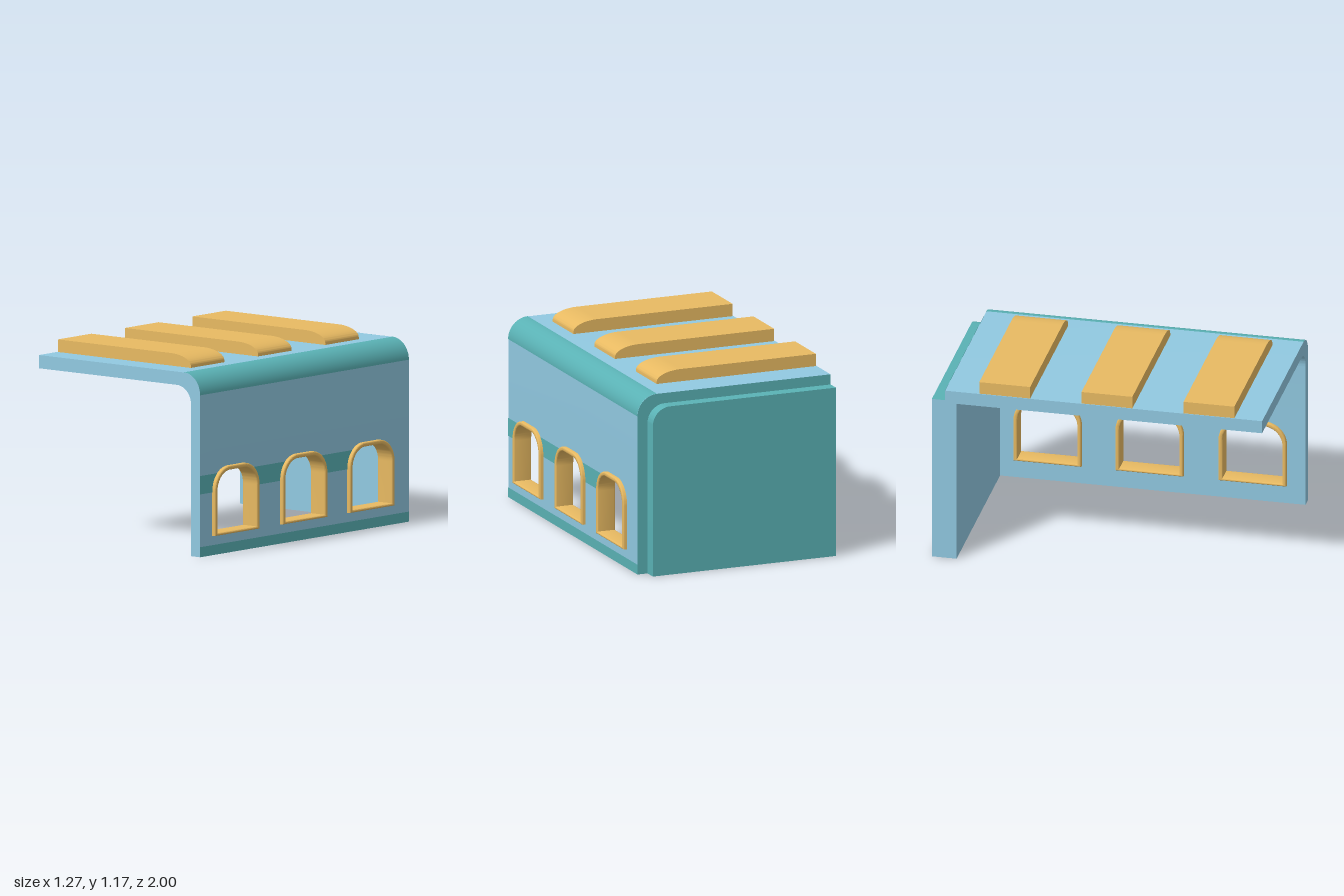
import * as THREE from 'three';
import { toCreasedNormals } from 'three/addons/utils/BufferGeometryUtils.js';

const paint = (color) => new THREE.MeshStandardMaterial({ color, side: THREE.DoubleSide });
const blue = paint(0x91c9e1);
const teal = paint(0x5ab2b5);
const ochre = paint(0xe8ba62);

const LEFT = -0.635, WALL_IN = 0.539, WALL_OUT = 0.608, FRONT = 1, BACK = -0.92;
const WINDOWS = [-0.682, -0.058, 0.56]; // positions along the wall, measured as -z

function extrude(shape, depth, bevel = 0) {
  const g = new THREE.ExtrudeGeometry(shape, {
    depth: depth - 2 * bevel, curveSegments: 12, bevelEnabled: bevel > 0,
    bevelThickness: bevel, bevelSize: bevel, bevelOffset: -bevel, bevelSegments: 3,
  });
  g.translate(0, 0, bevel);
  return toCreasedNormals(g, 0.6);
}

// Opens a hollow part by removing the flat faces lying at axis = value
function openAt(g, axis, value) {
  const { position, normal } = g.attributes;
  const keptPositions = [], keptNormals = [];
  for (let i = 0; i < position.count; i += 3) {
    const flat = [0, 1, 2].every((k) => Math.abs(position.getComponent(i + k, axis) - value) < 1e-4);
    if (flat) continue;
    keptPositions.push(...position.array.slice(i * 3, i * 3 + 9));
    keptNormals.push(...normal.array.slice(i * 3, i * 3 + 9));
  }
  const open = new THREE.BufferGeometry();
  open.setAttribute('position', new THREE.Float32BufferAttribute(keptPositions, 3));
  open.setAttribute('normal', new THREE.Float32BufferAttribute(keptNormals, 3));
  return open;
}

// Turns a shape drawn in (-z, y) to face +x, starting at x
const faceRight = (g, x) => g.rotateY(Math.PI / 2).translate(x, 0, 0);

// Roof with rounded shoulder, running down the right side to the given height
function shellProfile(bottom) {
  const s = new THREE.Shape();
  s.moveTo(LEFT, 1.013);
  s.lineTo(0.429, 1.013);
  s.absarc(0.429, 0.903, 0.11, Math.PI / 2, 0, true);
  s.lineTo(WALL_IN, bottom);
  s.lineTo(WALL_OUT, bottom);
  s.lineTo(WALL_OUT, 0.967);
  s.absarc(0.483, 0.967, 0.125, 0, Math.PI / 2, false);
  s.lineTo(LEFT, 1.092);
  s.closePath();
  return s;
}

// Window outline with rounded upper corners
function arch(PathType, c, half, bottom, top, r) {
  const p = new PathType();
  p.moveTo(c - half, bottom);
  p.lineTo(c + half, bottom);
  p.lineTo(c + half, top - r);
  p.absarc(c + half - r, top - r, r, 0, Math.PI / 2, false);
  p.lineTo(c - half + r, top);
  p.absarc(c - half + r, top - r, r, Math.PI / 2, Math.PI, false);
  p.closePath();
  return p;
}

function rect(x0, y0, x1, y1) {
  return new THREE.Shape([[x0, y0], [x1, y0], [x1, y1], [x0, y1]].map(([x, y]) => new THREE.Vector2(x, y)));
}

// Half width of the wall opening at height y
const openingHalf = (y) => (y < 0.382 ? 0.192 : 0.064 + Math.sqrt(0.128 ** 2 - (y - 0.382) ** 2));

// Painted band segment whose ends follow the neighbouring windows
function bandSegment(leftWindow, rightWindow) {
  const pts = [], n = 8;
  const y = (i) => 0.375 + (0.11 * i) / n;
  for (let i = 0; i <= n; i++) {
    pts.push(new THREE.Vector2(rightWindow - openingHalf(y(i)), y(i)));
  }
  for (let i = n; i >= 0; i--) {
    pts.push(new THREE.Vector2(leftWindow === null ? -FRONT : leftWindow + openingHalf(y(i)), y(i)));
  }
  return new THREE.Shape(pts);
}

export function createModel() {
  const model = new THREE.Group();
  const add = (name, geometry, material) => {
    const mesh = new THREE.Mesh(geometry, material);
    mesh.name = name;
    model.add(mesh);
  };
  const length = FRONT - BACK;

  // Hollow roof and upper part of the side wall
  const roof = openAt(extrude(shellProfile(0.6), length), 1, 0.6);
  add('roof', roof.translate(0, 0, BACK), blue);

  // Lower side wall with window openings, open underneath
  const wall = rect(-FRONT, 0, -BACK, 0.6);
  WINDOWS.forEach((c) => wall.holes.push(arch(THREE.Path, c, 0.192, 0.122, 0.51, 0.128)));
  const wallPanel = openAt(openAt(extrude(wall, WALL_OUT - WALL_IN), 1, 0.6), 1, 0);
  add('sideWall', faceRight(wallPanel, WALL_IN), blue);

  // Teal rounded shoulder
  const shoulder = new THREE.CylinderGeometry(0.126, 0.126, length, 16, 1, true, Math.PI / 2, Math.PI / 2);
  shoulder.rotateX(Math.PI / 2).translate(0.483, 0.967, (FRONT + BACK) / 2);
  add('shoulderTrim', shoulder, teal);

  // Teal bands on the outside of the wall
  add('baseBand', faceRight(new THREE.ShapeGeometry(rect(-FRONT, 0, -BACK, 0.06)), WALL_OUT + 0.001), teal);
  WINDOWS.forEach((c, i) => {
    const segment = new THREE.ShapeGeometry(bandSegment(i ? WINDOWS[i - 1] : null, c));
    add('middleBand', faceRight(segment, WALL_OUT + 0.001), teal);
  });

  // Teal rear end of the roof and side wall
  add('rearEndTrim', new THREE.ShapeGeometry(shellProfile(0), 12).translate(0, 0, BACK - 0.001), teal);

  // Hollow back wall, open underneath: teal outer half, blue inner half and left edge
  const panel = new THREE.Shape();
  panel.moveTo(LEFT, 0);
  panel.lineTo(0.544, 0);
  panel.lineTo(0.544, 0.92);
  panel.absarc(0.434, 0.92, 0.11, 0, Math.PI / 2, false);
  panel.lineTo(LEFT, 1.03);
  panel.closePath();
  const outer = openAt(openAt(openAt(extrude(panel, 0.08), 1, 0), 0, LEFT), 2, 0.08);
  add('backWallOuter', outer.translate(0, 0, -1), teal);
  const inner = openAt(openAt(extrude(panel, 0.07), 1, 0), 2, 0);
  add('backWallInner', inner.translate(0, 0, BACK), blue);
  const edge = new THREE.PlaneGeometry(0.08, 1.03).rotateY(-Math.PI / 2);
  add('backWallEdge', edge.translate(LEFT, 0.515, -0.96), blue);

  // Window frames
  WINDOWS.forEach((c) => {
    const frame = arch(THREE.Shape, c, 0.206, 0.115, 0.522, 0.14);
    frame.holes.push(arch(THREE.Path, c, 0.181, 0.131, 0.497, 0.117));
    add('windowFrame', faceRight(extrude(frame, 0.115, 0.0075), 0.517), ochre);
  });

  // Raised roof slabs with a rounded outer end
  const slab = new THREE.Shape();
  slab.moveTo(-0.63, 1.085);
  slab.lineTo(0.395, 1.085);
  slab.lineTo(0.395, 1.105);
  slab.absellipse(0.24, 1.105, 0.155, 0.062, 0, Math.PI / 2, false);
  slab.lineTo(-0.63, 1.167);
  slab.closePath();
  [-0.714, -0.095, 0.523].forEach((z) => add('roofSlab', extrude(slab, 0.308).translate(0, 0, z), ochre));

  return model;
}
